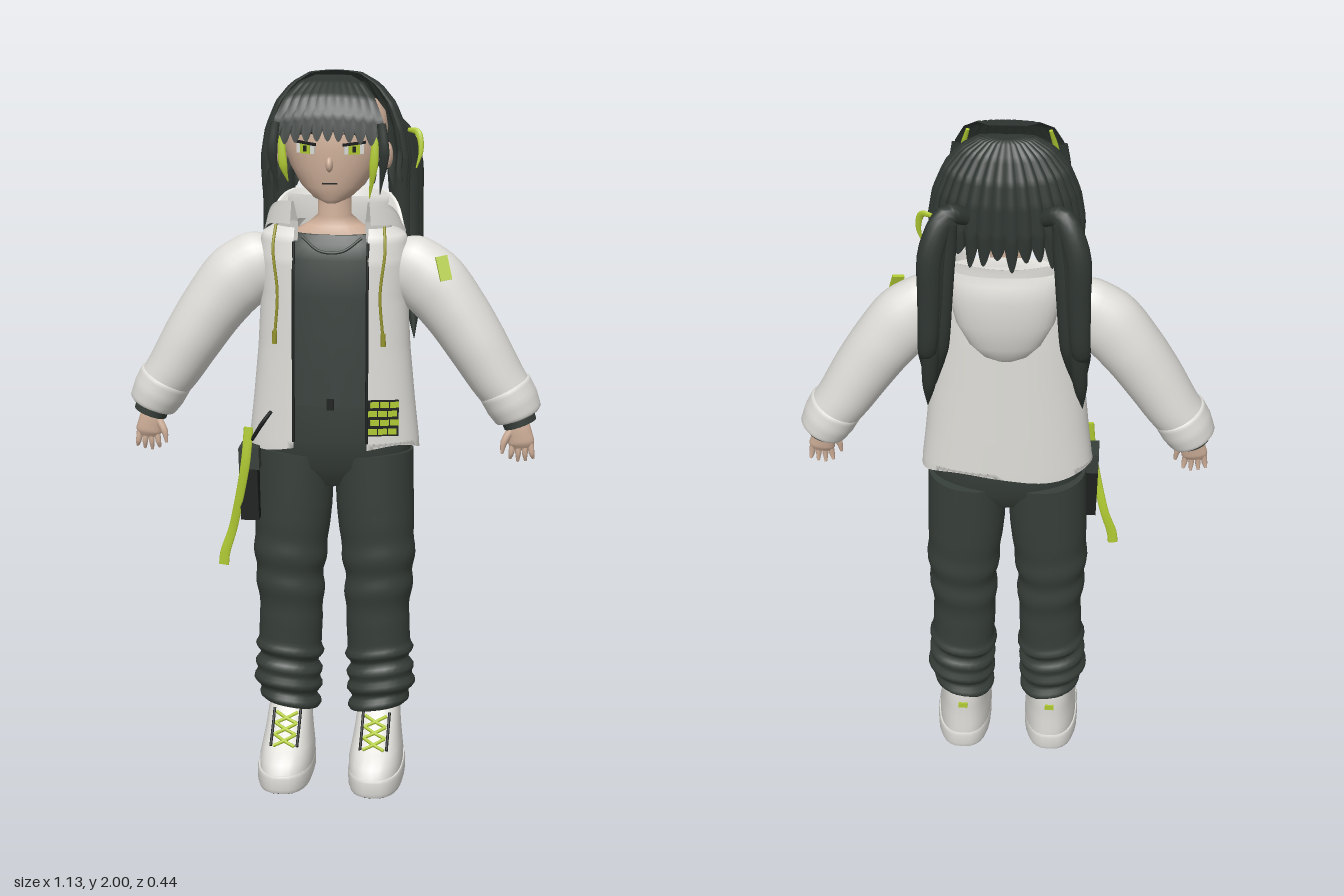
import * as THREE from 'three';
import { ParametricGeometry } from 'three/addons/geometries/ParametricGeometry.js';

const paint = (name, color, side = THREE.FrontSide) => {
  const m = new THREE.MeshStandardMaterial({ color, side });
  m.name = name;
  return m;
};

// Interpolates rows of [position, ...values]
function keyed(rows, t) {
  let i = 0;
  while (i < rows.length - 2 && t > rows[i + 1][0]) i++;
  const a = rows[i], b = rows[i + 1];
  const k = THREE.MathUtils.clamp((t - a[0]) / (b[0] - a[0]), 0, 1);
  return a.slice(1).map((v, j) => v + (b[j + 1] - v) * k);
}

// Skins rings {c, u, v} (centre and two half-axes) with rounded outlines of power n
function skinRings(rings, n = 2, seg = 28) {
  const pos = [], idx = [];
  const pw = (x) => Math.sign(x) * Math.abs(x) ** (2 / n);
  const push = (p) => pos.push(p.x, p.y, p.z);
  const ringPoint = (r, j) => {
    const a = (j / seg) * Math.PI * 2;
    return r.c.clone().addScaledVector(r.u, pw(Math.cos(a))).addScaledVector(r.v, pw(Math.sin(a)));
  };
  for (const r of rings) for (let j = 0; j < seg; j++) push(ringPoint(r, j));
  for (let i = 0; i < rings.length - 1; i++) for (let j = 0; j < seg; j++) {
    const a = i * seg + j, b = i * seg + (j + 1) % seg;
    idx.push(a, a + seg, b, b, a + seg, b + seg);
  }
  for (const [r, end] of [[rings[0], false], [rings[rings.length - 1], true]]) {
    const o = pos.length / 3;
    push(r.c);
    for (let j = 0; j < seg; j++) push(ringPoint(r, j));
    for (let j = 0; j < seg; j++) {
      const a = o + 1 + j, b = o + 1 + (j + 1) % seg;
      end ? idx.push(o, b, a) : idx.push(o, a, b);
    }
  }
  const g = new THREE.BufferGeometry();
  g.setAttribute('position', new THREE.Float32BufferAttribute(pos, 3));
  g.setIndex(idx);
  g.computeVertexNormals();
  return g;
}

// Level sections [y, halfWidth, front z, back z], bottom to top
const stack = (rows, x = 0, n = 2) => skinRings(rows.map(([y, rx, f, b]) => ({
  c: new THREE.Vector3(x, y, (f + b) / 2), u: new THREE.Vector3(rx, 0, 0), v: new THREE.Vector3(0, 0, (f - b) / 2),
})), n);

// Tapering limb through [x, y, z, ru, rv]; s mirrors it
function limb(pts, s = 1, steps = 16, seg = 16) {
  const curve = new THREE.CatmullRomCurve3(pts.map((p) => new THREE.Vector3(p[0] * s, p[1], p[2])));
  const radii = pts.map((p, i) => [i / (pts.length - 1), p[3], p[4] ?? p[3]]);
  const rings = [];
  for (let i = 0; i <= steps; i++) {
    const t = curve.getTangent(i / steps), [ru, rv] = keyed(radii, i / steps);
    const u = t.clone().cross(new THREE.Vector3(0, 0, 1)).normalize();
    const v = u.clone().cross(t);
    rings.push({ c: curve.getPoint(i / steps), u: u.multiplyScalar(ru), v: v.multiplyScalar(rv) });
  }
  return skinRings(rings, 2, seg);
}

const sheet = (fn, nu, nv) => new ParametricGeometry((u, v, p) => p.set(...fn(u, v)), nu, nv);

// Jacket body: [y, half width, half depth], open in front
const jacketRows = [[0.98, 0.235, 0.113], [1.1, 0.222, 0.112], [1.25, 0.208, 0.11], [1.4, 0.2, 0.108],
  [1.5, 0.205, 0.103], [1.56, 0.2, 0.09], [1.585, 0.16, 0.078]];
function jacketPoint(u, y) {
  const [rx, rz] = keyed(jacketRows, y), n = 2.3;
  const open = Math.asin((0.1 / rx) ** (n / 2));
  const a = open + u * (Math.PI * 2 - open * 2);
  const pw = (x) => Math.sign(x) * Math.abs(x) ** (2 / n);
  return [rx * pw(Math.sin(a)), y, rz * pw(Math.cos(a))];
}

export function createModel() {
  const root = new THREE.Group();
  root.name = 'figure';
  const skin = paint('skin', 0xd0b09a), hair = paint('hair', 0x2f3632, THREE.DoubleSide);
  const pants = paint('trouser green', 0x373f3a), shirt = paint('shirt grey', 0x3b433f);
  const white = paint('off white', 0xdeddd8, THREE.DoubleSide), black = paint('black', 0x1d201f);
  const green = paint('lime', 0xb0ca32, THREE.DoubleSide), gold = paint('cord olive', 0x97962e);
  const add = (name, geo, mat, parent = root) => {
    const m = new THREE.Mesh(geo, mat);
    m.name = name;
    parent.add(m);
    return m;
  };
  const box = (name, mat, size, at, rot = [0, 0, 0], parent = root) => {
    const m = add(name, new THREE.BoxGeometry(...size), mat, parent);
    m.position.set(...at);
    m.rotation.set(...rot);
    return m;
  };
  const ball = (name, mat, size, at) => {
    const m = add(name, new THREE.SphereGeometry(1, 16, 12), mat);
    m.scale.set(...size);
    m.position.set(...at);
  };

  // Head and neck
  add('head', stack([[1.655, 0.018, 0.082, 0.03], [1.668, 0.05, 0.094, 0.0], [1.7, 0.086, 0.104, -0.05],
    [1.75, 0.117, 0.112, -0.09], [1.8, 0.136, 0.115, -0.115], [1.85, 0.144, 0.114, -0.123], [1.89, 0.137, 0.104, -0.115],
    [1.92, 0.115, 0.085, -0.095], [1.942, 0.08, 0.058, -0.065], [1.952, 0.04, 0.03, -0.035], [1.955, 0.005, 0.003, -0.003]]), skin);
  add('neck', stack([[1.48, 0.15, 0.065, -0.07], [1.56, 0.125, 0.055, -0.065], [1.585, 0.075, 0.045, -0.06],
    [1.61, 0.046, 0.038, -0.055], [1.72, 0.043, 0.038, -0.055]]), skin);
  ball('nose', skin, [0.01, 0.02, 0.016], [0, 1.765, 0.114]);
  box('mouth', black, [0.04, 0.004, 0.006], [0, 1.713, 0.104]);
  for (const s of [1, -1]) {
    ball('ear', skin, [0.016, 0.036, 0.024], [s * 0.142, 1.775, 0]);
    const eye = new THREE.Group();
    eye.name = 'eye';
    eye.position.set(s * 0.064, 1.806, 0.104);
    eye.rotation.y = s * 0.42;
    root.add(eye);
    box('eyeWhite', white, [0.054, 0.026, 0.004], [0, 0, 0], [0, 0, 0], eye);
    box('iris', green, [0.03, 0.027, 0.004], [0, 0, 0.002], [0, 0, 0], eye);
    box('pupil', black, [0.009, 0.016, 0.004], [0, 0, 0.003], [0, 0, 0], eye);
    box('lash', black, [0.064, 0.007, 0.006], [0, 0.015, 0.003], [0, 0, s * 0.08], eye);
    box('brow', black, [0.055, 0.005, 0.005], [0, 0.04, 0], [0, 0, -s * 0.1], eye);
  }

  // Back hair: ridged locks fanning from the crown
  const capRows = [[0, 1.995, 0.004], [0.1, 1.99, 0.07], [0.25, 1.96, 0.122], [0.4, 1.91, 0.163], [0.6, 1.84, 0.192],
    [0.8, 1.77, 0.205], [1, 1.725, 0.2]];
  add('backHair', sheet((u, v) => {
    const a = (u * 2 - 1) * 1.88, [y, r] = keyed(capRows, v);
    const ridge = Math.abs(Math.sin(u * Math.PI * 20)), rr = r * (0.95 + 0.05 * ridge);
    const drop = 0.045 + 0.02 * Math.sin(Math.floor(u * 20) * 2.3);
    return [rr * Math.sin(a), y - drop * ridge * v ** 6, -0.035 - rr * 0.63 * Math.cos(a)];
  }, 160, 18), hair);

  // Fringe: arched sheet floating before the forehead
  const fringeRows = [[0, 1.99, 0.02, 0.045], [0.25, 1.982, 0.07, 0.085], [0.5, 1.955, 0.11, 0.118],
    [0.75, 1.908, 0.138, 0.142], [1, 1.86, 0.15, 0.156]];
  add('fringe', sheet((u, v) => {
    const k = u * 2 - 1, [y, z, w] = keyed(fringeRows, v), ridge = Math.abs(Math.sin(u * Math.PI * 11));
    return [k * w, y - 0.02 * k * k * v - 0.027 * ridge * v ** 5, z + 0.003 * ridge - 0.012 * k * k * v];
  }, 88, 16), hair);

  for (const s of [1, -1]) {
    // Face locks with lime streaks
    add('faceLock', limb([[0.14, 1.88, 0.138, 0.012, 0.006], [0.148, 1.8, 0.142, 0.014, 0.006], [0.135, 1.69, 0.122, 0.001]], s), hair);
    add('limeLock', limb([[0.108, 1.935, 0.106, 0.005, 0.004], [0.122, 1.87, 0.127, 0.008, 0.005], [0.12, 1.77, 0.138, 0.012, 0.005],
      [0.108, s > 0 ? 1.68 : 1.72, 0.125, 0.001]], s), green);
    // Pigtails made of three locks
    for (const [dx, dz, end] of [[0, 0, 1.24], [-0.022, 0.012, 1.3], [0.008, -0.01, 1.34]]) {
      add('pigtail', limb([[0.09, 1.8, -0.12, 0.02], [0.145, 1.825, -0.16, 0.032, 0.026], [0.178 + dx, 1.74, -0.182 + dz, 0.034, 0.024],
        [0.185 + dx, 1.6, -0.19 + dz, 0.03, 0.023], [0.192 + dx, 1.45, -0.186 + dz, 0.026, 0.022],
        [0.2 + dx, end + 0.08, -0.165 + dz, 0.018], [0.206 + dx, end, -0.14 + dz, 0.001]], s, 28), hair);
    }
  }
  add('hairRibbon', limb([[0.185, 1.82, -0.15, 0.006, 0.004], [0.212, 1.815, -0.135, 0.01, 0.004], [0.222, 1.77, -0.125, 0.007, 0.004], [0.21, 1.72, -0.12, 0.002]]), green);

  // Shirt, with neckline
  add('shirt', stack([[1.02, 0.18, 0.088, -0.09], [1.2, 0.178, 0.09, -0.09], [1.4, 0.18, 0.092, -0.09], [1.5, 0.172, 0.085, -0.085],
    [1.54, 0.15, 0.07, -0.075], [1.565, 0.125, 0.058, -0.068]], 0, 2.3), shirt);
  add('neckline', limb([[-0.08, 1.558, 0.055, 0.004], [-0.03, 1.525, 0.08, 0.004], [0.03, 1.525, 0.08, 0.004], [0.08, 1.558, 0.055, 0.004]]), pants);

  // Trousers: hips, then legs gathered into folds
  add('hips', stack([[0.86, 0.16, 0.05, -0.07], [0.92, 0.21, 0.088, -0.104], [1.0, 0.21, 0.1, -0.108], [1.1, 0.195, 0.098, -0.1]], 0, 2.3), pants);
  box('buckle', black, [0.02, 0.03, 0.008], [0, 1.105, 0.096]);
  const legRows = [[0.2, 0.122, 0.075, 0.07, -0.085], [0.25, 0.133, 0.092, 0.078, -0.092], [0.38, 0.126, 0.088, 0.08, -0.092],
    [0.48, 0.122, 0.088, 0.083, -0.092], [0.62, 0.126, 0.098, 0.094, -0.102], [0.8, 0.114, 0.107, 0.097, -0.11], [0.95, 0.109, 0.109, 0.097, -0.113]];
  const levels = Array.from({ length: 73 }, (_, i) => 0.2 + i * 0.0104);
  const shoeRows = [[0.055, 0.074, 0.212, -0.092], [0.085, 0.074, 0.2, -0.092], [0.11, 0.07, 0.165, -0.09],
    [0.15, 0.064, 0.115, -0.09], [0.19, 0.06, 0.075, -0.092], [0.21, 0.056, 0.055, -0.088]];
  for (const s of [1, -1]) {
    add('trouserLeg', skinRings(levels.map((y) => {
      const [x, rx, f, b] = keyed(legRows, y);
      const fold = y < 0.38 ? 0.006 * Math.sin(y * 125) + 0.003 * Math.sin(y * 71)
        : 0.004 * Math.sin(y * 60) * Math.exp(-(((y - 0.6) / 0.1) ** 2));
      return { c: new THREE.Vector3(s * x, y, (f + b) / 2), u: new THREE.Vector3(rx + fold, s * 0.012, 0),
        v: new THREE.Vector3(0, 0.01, (f - b) / 2 + fold) };
    }), 2.2), pants);
    // Shoes
    add('tread', stack([[0, 0.066, 0.2, -0.08], [0.01, 0.07, 0.206, -0.087]], s * 0.128, 2.6), black);
    add('sole', stack([[0.006, 0.073, 0.212, -0.092], [0.018, 0.077, 0.217, -0.096], [0.05, 0.078, 0.218, -0.097], [0.058, 0.075, 0.214, -0.094]], s * 0.128, 2.6), white);
    add('shoeUpper', stack(shoeRows, s * 0.126, 2.5), white);
    add('shoeOpening', stack([[0.205, 0.05, 0.045, -0.08], [0.213, 0.05, 0.045, -0.08]], s * 0.126, 2.5), black);
    box('heelTab', green, [0.026, 0.016, 0.008], [s * 0.126, 0.165, -0.092]);
    const x = s * 0.126, front = (h) => keyed(shoeRows, h)[1];
    for (let i = 0; i < 3; i++) for (const d of [1, -1]) {
      const y = 0.122 + i * 0.024;
      add('lace', limb([[x - d * 0.03, y, front(y) - 0.003, 0.005], [x, y + 0.012, front(y + 0.012) + 0.002, 0.005],
        [x + d * 0.03, y + 0.024, front(y + 0.024) - 0.003, 0.005]], 1, 6, 8), green);
    }
    // Dark seams beside the tongue
    for (const d of [1, -1]) add('tongueSeam', limb([0.12, 0.16, 0.2].map((y) => [x + d * 0.037, y, front(y) - 0.009, 0.004])), black);
  }

  // Jacket body, zip edges, collar and hood
  add('jacketBody', sheet((u, v) => {
    const p = jacketPoint(u, 0.98 + 0.605 * v);
    if (v === 0) p[1] += 0.012 * Math.sin(u * 19);
    return p;
  }, 64, 30), white);
  // The collar stands up in front and dips over the shoulders
  const collarRows = [[0, 1.54, 0.165, 0.085], [0.35, 1.6, 0.16, 0.1], [0.7, 1.66, 0.175, 0.125], [0.8, 1.663, 0.185, 0.132], [1, 1.6, 0.192, 0.134]];
  add('collar', sheet((u, v) => {
    const [y, rx, rz] = keyed(collarRows, v), a = 0.6 + u * (Math.PI * 2 - 1.2);
    const dip = Math.exp(-(((Math.acos(Math.cos(a)) - 1.6) / 0.45) ** 2));
    return [rx * Math.sin(a), 1.55 + (y - 1.55) * (1 - 0.72 * dip), rz * Math.cos(a) - 0.018];
  }, 60, 20), white);
  add('hood', stack([[1.37, 0.025, -0.1, -0.125], [1.39, 0.06, -0.09, -0.147], [1.43, 0.095, -0.08, -0.168], [1.5, 0.13, -0.07, -0.185],
    [1.58, 0.15, -0.06, -0.19], [1.63, 0.155, -0.055, -0.182], [1.65, 0.145, -0.06, -0.168], [1.625, 0.11, -0.065, -0.145]], 0, 2.2), white);

  for (const s of [1, -1]) {
    const zip = [1, 1.15, 1.3, 1.45, 1.55].map((y) => {
      const p = jacketPoint(0, y);
      return [p[0], y, p[2], 0.004, 0.003];
    });
    add('zipEdge', limb(zip, s), black);
    add('drawstring', limb([[0.145, 1.6, 0.1, 0.004], [0.15, 1.54, 0.124, 0.004], [0.138, 1.42, 0.132, 0.004], [0.146, 1.3, 0.13, 0.004]], s, 20, 8), gold);
    add('cordEnd', limb([[0.146, 1.315, 0.13, 0.007], [0.147, 1.28, 0.129, 0.007]], s, 2, 10), gold);
    // Sleeve, cuff and hand
    add('sleeve', limb([[0.16, 1.49, -0.005, 0.06, 0.05], [0.2, 1.475, -0.005, 0.09, 0.066], [0.265, 1.43, -0.004, 0.097, 0.077], [0.33, 1.352, -0.003, 0.089, 0.082],
      [0.39, 1.262, 0, 0.083, 0.083], [0.445, 1.172, 0, 0.075, 0.08], [0.475, 1.13, 0, 0.07, 0.076]], s, 28, 28), white);
    add('cuff', limb([[0.464, 1.15, 0, 0.064, 0.07], [0.468, 1.142, 0, 0.075, 0.082], [0.488, 1.105, 0, 0.074, 0.082],
      [0.506, 1.07, 0, 0.066, 0.074], [0.508, 1.065, 0, 0.05, 0.06]], s, 16, 28), white);
    add('innerCuff', limb([[0.495, 1.09, 0.01, 0.05, 0.052], [0.512, 1.045, 0.012, 0.046, 0.048]], s, 3, 20), pants);
    add('hand', limb([[0.5, 1.08, 0.015, 0.026, 0.022], [0.508, 1.03, 0.018, 0.034, 0.022], [0.516, 0.995, 0.02, 0.036, 0.018], [0.518, 0.98, 0.02, 0.028, 0.01]], s), skin);
    for (let i = 0; i < 4; i++) {
      const x = 0.493 + i * 0.016, tip = 0.486 + i * 0.021, y = 0.938 + Math.abs(i - 1.3) * 0.007;
      add('finger', limb([[x, 0.995, 0.02, 0.009], [(x + tip) / 2, 0.965, 0.022, 0.008], [tip, y, 0.018, 0.004]], s, 6, 10), skin);
    }
    add('thumb', limb([[0.488, 1.03, 0.025, 0.012], [0.47, 0.998, 0.032, 0.01], [0.464, 0.965, 0.034, 0.004]], s, 6, 10), skin);
  }

  // Sleeve patch and striped hem tag on the left
  box('sleevePatch', green, [0.032, 0.066, 0.009], [0.302, 1.485, 0.07], [-0.3, 0.25, 0.25]);
  const tag = new THREE.Group();
  tag.name = 'hemTag';
  tag.position.set(0.145, 1.075, 0.107);
  tag.rotation.y = 0.2;
  root.add(tag);
  box('tagPlate', black, [0.085, 0.1, 0.006], [0, 0, 0], [0, 0, 0], tag);
  for (let i = 0; i < 4; i++) {
    for (const k of [-1, 0, 1]) box('tagBar', green, [0.024, 0.016, 0.006], [k * 0.027 + (i % 2 ? 0.004 : -0.002), -0.037 + i * 0.025, 0.003], [0, 0, 0], tag);
  }

  // Hip pouch, clip and hanging strap on the right
  box('pouch', black, [0.05, 0.2, 0.07], [-0.225, 0.87, 0.065], [0, 0, 0.03]);
  box('pouchFlap', pants, [0.056, 0.06, 0.076], [-0.224, 0.945, 0.065], [0, 0, 0.03]);
  add('clip', limb([[-0.16, 1.085, 0.112, 0.005], [-0.185, 1.05, 0.115, 0.006], [-0.215, 1.0, 0.1, 0.005]], 1, 8, 10), black);
  add('strap', limb([[-0.224, 1.035, 0.1, 0.013, 0.004], [-0.232, 0.94, 0.106, 0.013, 0.004], [-0.25, 0.84, 0.1, 0.012, 0.004],
    [-0.272, 0.74, 0.09, 0.012, 0.004], [-0.294, 0.67, 0.09, 0.014, 0.004], [-0.298, 0.635, 0.09, 0.014, 0.004]], 1, 24), green);
  return root;
}
